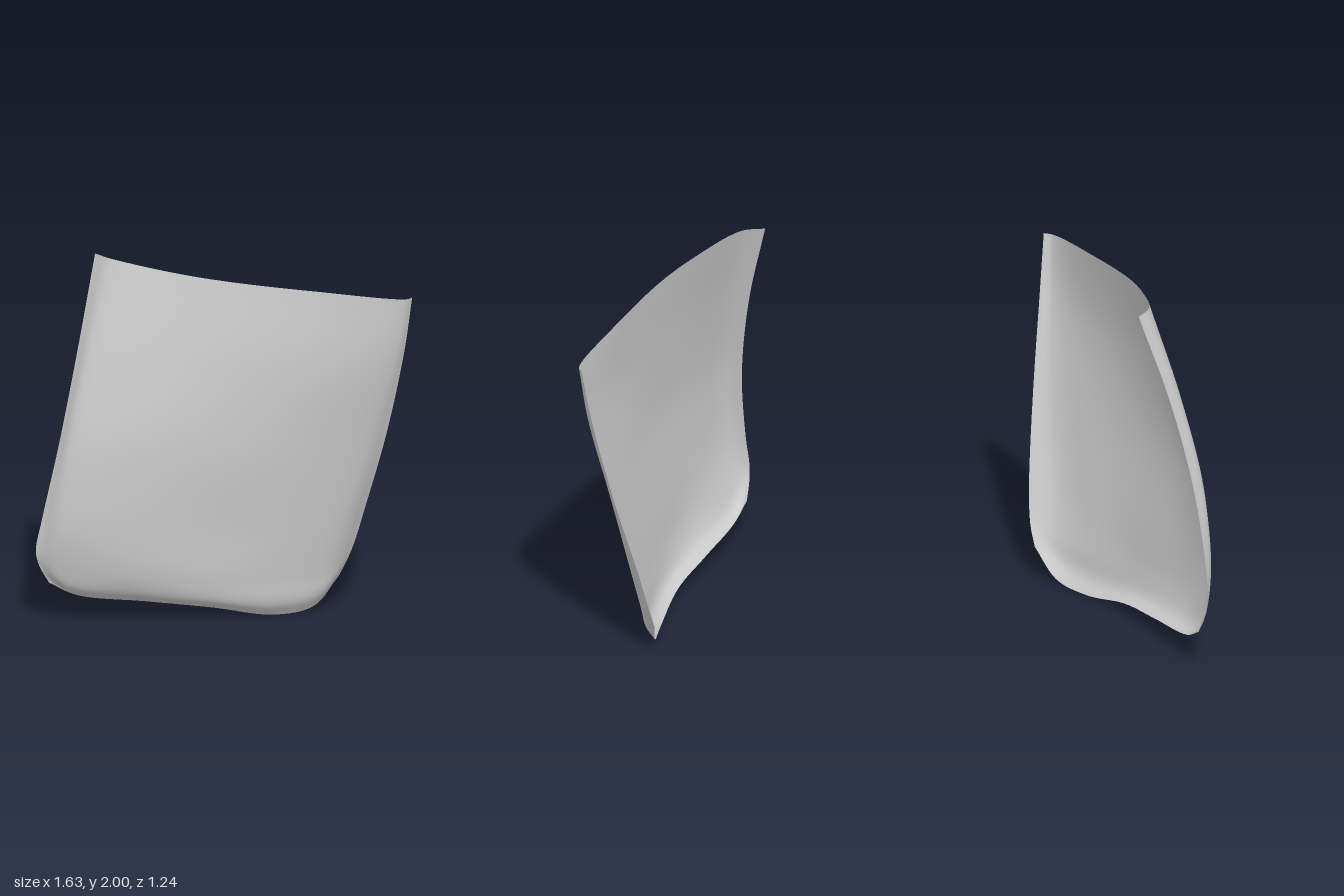
import * as THREE from 'three';

// Horizontal sections from the top edge down to the curled lower lip,
// each running from the -x edge round to the +x edge.
const sections = [
  [[-.71, 2, .22], [-.58, 2, .25], [-.25, 1.957, .15], [.02, 1.922, .02], [.42, 1.87, -.25], [.8, 1.82, -.55], [.81, 1.82, -.6]],
  [[-.7, 1.5, .395], [-.6, 1.5, .425], [-.3, 1.48, .305], [0, 1.47, .115], [.4, 1.45, -.2], [.74, 1.49, -.54], [.75, 1.5, -.61]],
  [[-.725, 1, .53], [-.63, 1, .56], [-.34, 1, .415], [0, 1, .15], [.35, 1, -.2], [.595, 1, -.51], [.62, 1, -.62]],
  [[-.785, .58, .605], [-.67, .55, .61], [-.35, .52, .415], [0, .5, .09], [.27, .49, -.21], [.455, .52, -.47], [.48, .56, -.615]],
  [[-.815, .4, .62], [-.69, .32, .585], [-.36, .28, .385], [-.04, .25, .1], [.19, .22, -.17], [.37, .24, -.44], [.425, .38, -.605]],
  [[-.805, .31, .6], [-.67, .21, .54], [-.36, .16, .325], [-.06, .12, .075], [.17, .08, -.18], [.33, .11, -.42], [.39, .28, -.59]],
  [[-.77, .215, .56], [-.65, .145, .47], [-.36, .105, .24], [-.08, .065, .015], [.15, .003, -.24], [.28, .03, -.43], [.35, .18, -.56]],
];

// Smooth skin through a net of points: curves along the rows, then down the columns.
function skin(net, cols, rows) {
  const spline = pts => new THREE.CatmullRomCurve3(pts, false, 'centripetal');
  const across = net.map(row => spline(row.map(p => new THREE.Vector3(...p))).getPoints(cols));
  const positions = [], index = [];
  for (let c = 0; c <= cols; c++) {
    for (const p of spline(across.map(row => row[c])).getPoints(rows)) positions.push(p.x, p.y, p.z);
  }
  for (let c = 0; c < cols; c++) {
    for (let r = 0; r < rows; r++) {
      const a = c * (rows + 1) + r, b = a + rows + 1;
      index.push(a, a + 1, b, b, a + 1, b + 1);
    }
  }
  const geometry = new THREE.BufferGeometry();
  geometry.setAttribute('position', new THREE.Float32BufferAttribute(positions, 3));
  geometry.setIndex(index);
  geometry.computeVertexNormals();
  return geometry;
}

export function createModel() {
  const group = new THREE.Group();
  group.name = 'curvedPanel';
  const material = new THREE.MeshStandardMaterial({ color: 0xcccccc, side: THREE.DoubleSide });
  // Thin bowed panel with folded side edges and an inward-curling lower lip
  const panel = new THREE.Mesh(skin(sections, 48, 48), material);
  panel.name = 'panel';
  group.add(panel);
  return group;
}
